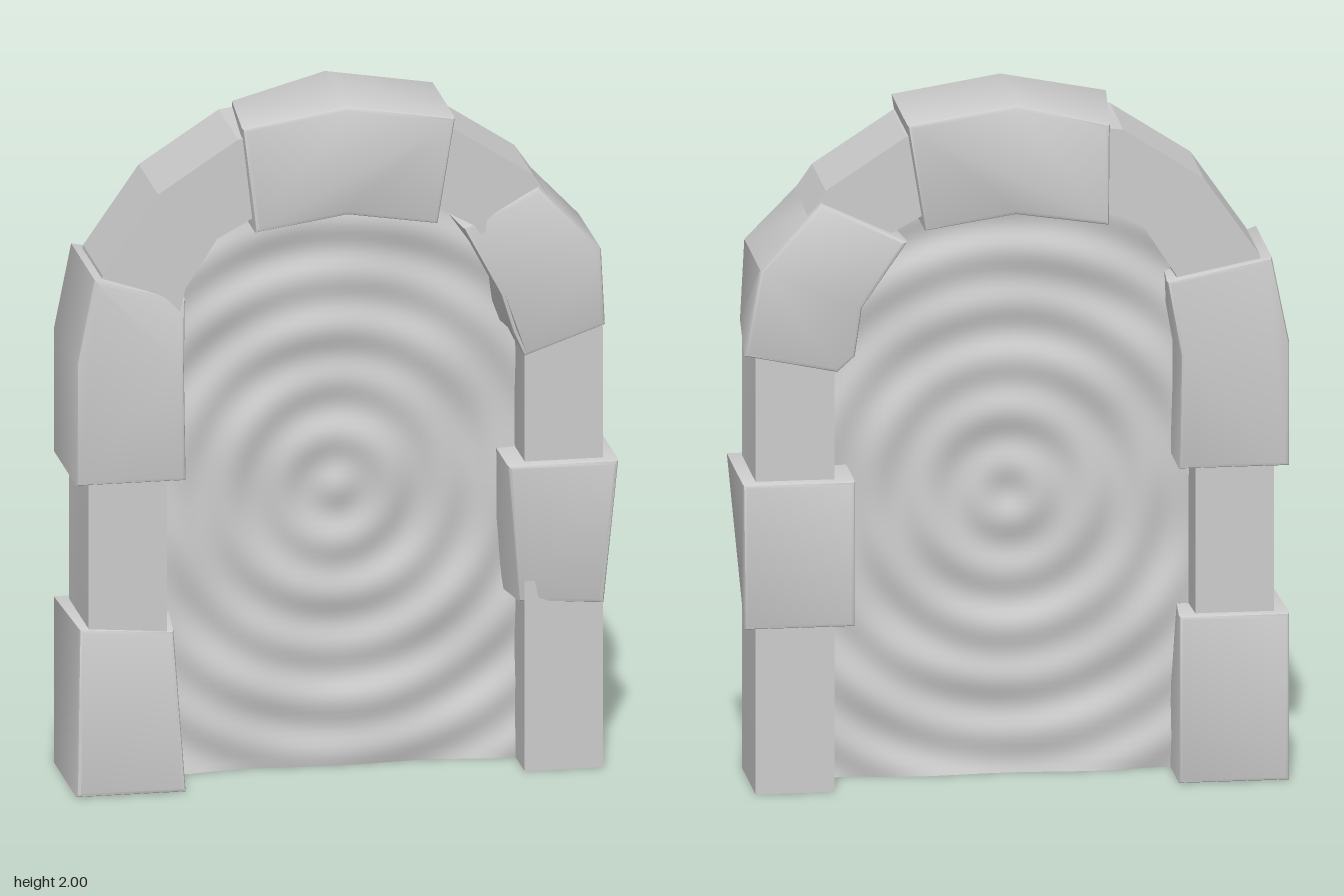
import * as THREE from 'three';
import { toCreasedNormals } from 'three/addons/utils/BufferGeometryUtils.js';

const material = new THREE.MeshStandardMaterial({ color: 0xcccccc });
const sheetMaterial = new THREE.MeshStandardMaterial({ color: 0xcccccc, side: THREE.DoubleSide });

// Extrudes an outline symmetrically about z = 0, keeping its full outer size.
function slab(points, halfDepth, bevel) {
  const shape = new THREE.Shape(points.map(([x, y]) => new THREE.Vector2(x, y)));
  const geometry = new THREE.ExtrudeGeometry(shape, {
    depth: 2 * (halfDepth - bevel), bevelEnabled: bevel > 0, bevelThickness: bevel,
    bevelSize: bevel, bevelOffset: -bevel, bevelSegments: 2,
  });
  return geometry.translate(0, 0, bevel - halfDepth);
}

// A thick stone; each chip [x, y, z, dx, dy, dz] shifts the vertices around one corner.
function stone(name, points, chips = []) {
  const geometry = slab(points, 0.188, 0.012);
  const position = geometry.attributes.position;
  const v = new THREE.Vector3();
  for (let i = 0; i < position.count; i++) {
    v.fromBufferAttribute(position, i);
    for (const [x, y, z, dx, dy, dz] of chips) {
      if (v.distanceTo(new THREE.Vector3(x, y, z)) < 0.035) {
        position.setXYZ(i, v.x + dx, v.y + dy, v.z + dz);
        break;
      }
    }
  }
  const mesh = new THREE.Mesh(toCreasedNormals(geometry, 0.6), material);
  mesh.name = name;
  return mesh;
}

// Rippled sheet filling the opening, its rim hidden inside the frame.
function portalSheet() {
  const geometry = new THREE.PlaneGeometry(2, 1, 64, 90);
  const position = geometry.attributes.position;
  for (let i = 0; i < position.count; i++) {
    const y = (position.getY(i) + 0.5) * 1.79;
    const half = y < 1.2 ? 0.6 : Math.sqrt(Math.max(0, 0.36 - (y - 1.2) ** 2));
    const x = position.getX(i) * half;
    const r = Math.hypot(x, y - 0.82);
    const ripple = 0.007 * Math.cos(r * 40);
    const swell = 0.006 * Math.sin(9 * x + 4 * y) * Math.sin(13 * y - 5 * x);
    position.setXYZ(i, x, y, ripple + swell);
  }
  geometry.computeVertexNormals();
  const mesh = new THREE.Mesh(geometry, sheetMaterial);
  mesh.name = 'portalSheet';
  return mesh;
}

export function createModel() {
  const group = new THREE.Group();
  group.name = 'stonePortal';

  // Slim continuous arch behind the big stones
  const outer = [[0.74, 0], [0.74, 1.3], [0.7, 1.53], [0.54, 1.76], [0.31, 1.91], [0, 1.95]];
  const inner = [[0, 1.7], [0.26, 1.68], [0.37, 1.62], [0.46, 1.48], [0.515, 1.25], [0.515, 0]];
  const mirror = (points) => points.filter(([x]) => x > 0).map(([x, y]) => [-x, y]).reverse();
  const arch = new THREE.Mesh(
    toCreasedNormals(slab([...outer, ...mirror(outer), ...mirror(inner), ...inner], 0.153, 0), 0.3),
    material);
  arch.name = 'archBand';
  group.add(arch);

  // Stones on the model's right
  group.add(stone('lowerRightStone',
    [[-0.78, 0], [-0.465, 0], [-0.465, 0.49], [-0.78, 0.49]],
    [[-0.465, 0.49, 0.188, -0.03, -0.02, -0.03], [-0.78, 0.49, 0.188, 0.012, 0, -0.025]]));
  group.add(stone('upperRightStone',
    [[-0.78, 0.92], [-0.465, 0.92], [-0.47, 1.25], [-0.43, 1.47], [-0.73, 1.53], [-0.78, 1.28]],
    [[-0.43, 1.47, 0.188, -0.03, -0.03, -0.04]]));

  // Keystone
  group.add(stone('keystone',
    [[-0.265, 1.64], [0, 1.68], [0.26, 1.64], [0.31, 1.95], [0, 2], [-0.31, 1.95]],
    [[-0.31, 1.95, 0.188, 0.01, -0.005, -0.015], [-0.31, 1.95, -0.188, 0.04, -0.02, 0.015]]));

  // Stones on the model's left
  group.add(stone('upperLeftStone',
    [[0.31, 1.61], [0.44, 1.42], [0.46, 1.28], [0.51, 1.235], [0.775, 1.29], [0.73, 1.54], [0.57, 1.77]],
    [[0.57, 1.77, 0.188, -0.015, -0.045, -0.02], [0.57, 1.77, -0.188, -0.015, -0.045, 0.02],
      [0.31, 1.61, 0.188, 0.03, 0, -0.04], [0.46, 1.28, 0.188, 0.02, 0.02, -0.03],
      [0.775, 1.29, 0.188, -0.03, 0.02, -0.02]]));
  group.add(stone('middleLeftStone',
    [[0.46, 0.49], [0.775, 0.49], [0.78, 0.915], [0.46, 0.915]],
    [[0.775, 0.49, 0.188, -0.035, 0, -0.015], [0.46, 0.49, 0.188, 0.04, 0.01, -0.04]]));

  group.add(portalSheet());
  return group;
}
